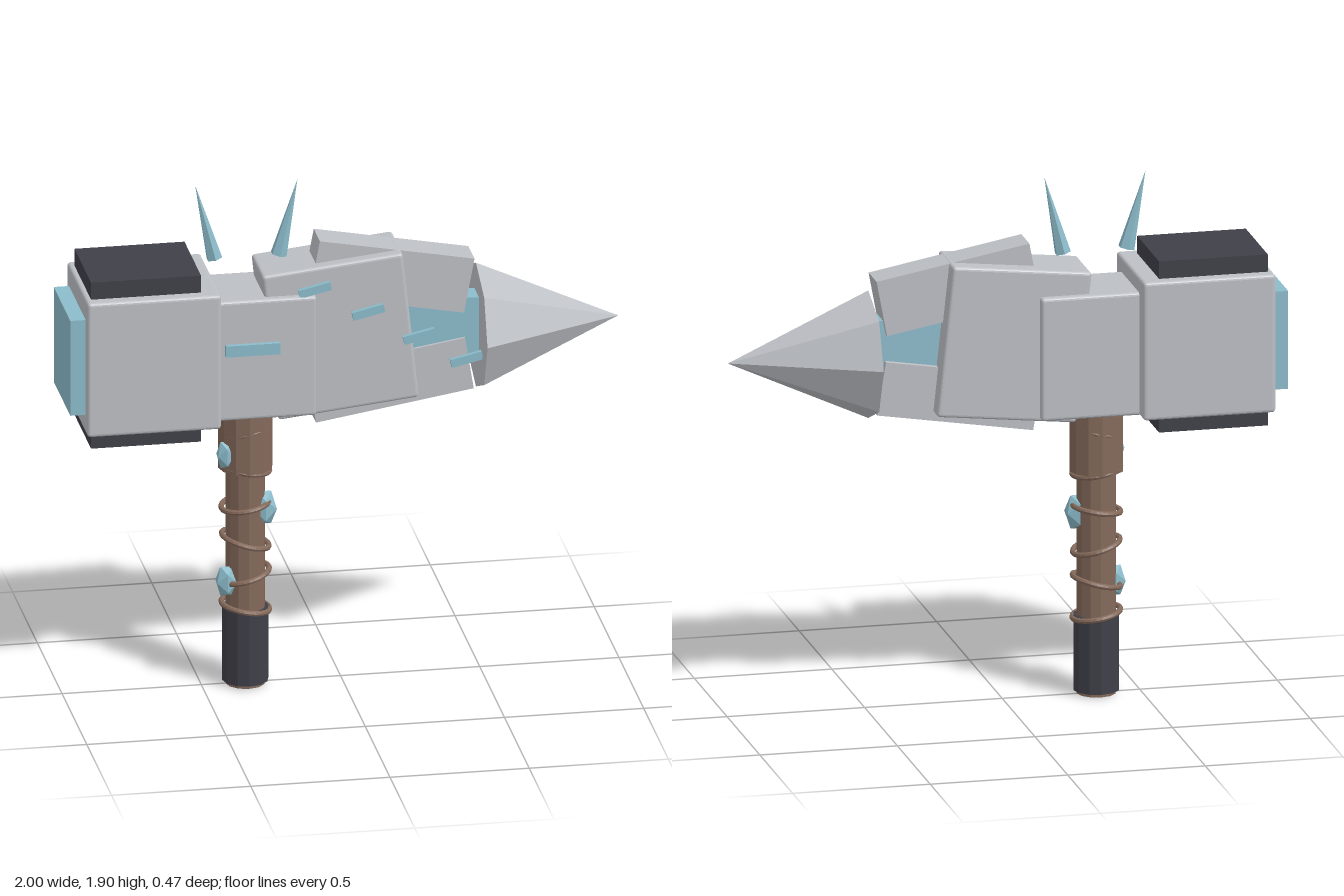
import * as THREE from 'three';
import { RoundedBoxGeometry } from 'three/addons/geometries/RoundedBoxGeometry.js';

export function createModel() {
  const group = new THREE.Group();
  group.name = 'warHammer';

  const mat = (name, color, flatShading = true) => {
    const m = new THREE.MeshStandardMaterial({ color, flatShading });
    m.name = name;
    return m;
  };
  const steel = mat('steel', 0xbcbfc4);
  const dark = mat('darkIron', 0x3f3f48);
  const wood = mat('brownWood', 0x84695a);
  const crystal = mat('paleBlueCrystal', 0x8cbccb);

  const add = (name, geometry, material, x, y, z = 0, tilt = 0) => {
    const mesh = new THREE.Mesh(geometry, material);
    mesh.name = name;
    mesh.position.set(x, y, z);
    mesh.rotation.z = THREE.MathUtils.degToRad(tilt);
    group.add(mesh);
    return mesh;
  };
  const box = (w, h, d) => new THREE.BoxGeometry(w, h, d);
  const rounded = (w, h, d) => new RoundedBoxGeometry(w, h, d, 2, 0.012);

  // Striking block with dark caps and a crystal face plate
  add('hammerBlock', rounded(0.48, 0.508, 0.424), steel, -0.705, 1.302);
  add('topCap', box(0.395, 0.08, 0.335), dark, -0.728, 1.58);
  add('bottomCap', box(0.395, 0.08, 0.335), dark, -0.728, 1.03);
  add('facePlate', box(0.07, 0.36, 0.335), crystal, -0.965, 1.3);

  // Centre of the head
  add('socketBlock', rounded(0.38, 0.452, 0.285), steel, -0.3, 1.276);
  add('tiltedBlock', rounded(0.508, 0.553, 0.23), steel, -0.019, 1.331, 0, 6.1);

  // Jaws clasping a crystal core
  add('upperJaw', box(0.565, 0.206, 0.124), steel, 0.172, 1.53, 0.01, -10.6);
  add('lowerJaw', box(0.574, 0.196, 0.124), steel, 0.167, 1.138, 0.01, 9.2);
  add('crystalCore', box(0.5, 0.22, 0.09), crystal, 0.25, 1.325, 0.015, -2);

  // Eight-sided spike
  const tip = add('pointedTip', new THREE.ConeGeometry(0.235, 0.511, 8), steel, 0.742, 1.3);
  tip.rotation.z = -Math.PI / 2;

  // Glowing bars along the front
  add('socketBar', box(0.195, 0.042, 0.02), crystal, -0.342, 1.32, 0.15);
  [[-0.115, 1.523], [0.077, 1.426], [0.26, 1.322], [0.43, 1.223]].forEach(([x, y]) =>
    add('frontBar', box(0.116, 0.03, 0.018), crystal, x, y, 0.128, 13));

  // Thin horns hovering above the head
  [[-0.49, 1.764, 13.9], [-0.191, 1.763, -13.5]].forEach(([x, y, tilt]) =>
    add('horn', new THREE.ConeGeometry(0.03, 0.288, 6), crystal, x, y, 0.016, tilt));

  // Handle, collar and grip
  const hx = -0.342;
  const rod = (name, r, y0, y1, material) =>
    add(name, new THREE.CylinderGeometry(r, r, y1 - y0, 12), material, hx, (y0 + y1) / 2);
  rod('handle', 0.071, 0, 1.06, wood);
  rod('collar', 0.098, 0.82, 1.06, wood);
  rod('grip', 0.083, 0.013, 0.29, dark);

  // Tilted rings wrapped around the handle
  [[0.293, -10], [0.413, 14], [0.542, -16], [0.68, 9], [0.82, -9], [0.97, 12]].forEach(([y, tilt]) => {
    const geo = new THREE.TorusGeometry(0.087, 0.01, 8, 28).rotateX(Math.PI / 2);
    add('handleRing', geo, wood, hx, y, 0, tilt);
  });

  // Crystals growing from the handle
  [[-0.278, 0.665, 0.015, 0.05, 0.072], [-0.415, 0.4, 0.03, 0.042, 0.064],
    [-0.42, 0.885, 0.045, 0.036, 0.058]].forEach(([x, y, z, r, h]) => {
    const geo = new THREE.IcosahedronGeometry(1, 0).scale(r, h, r);
    add('handleCrystal', geo, crystal, x, y, z);
  });

  return group;
}
